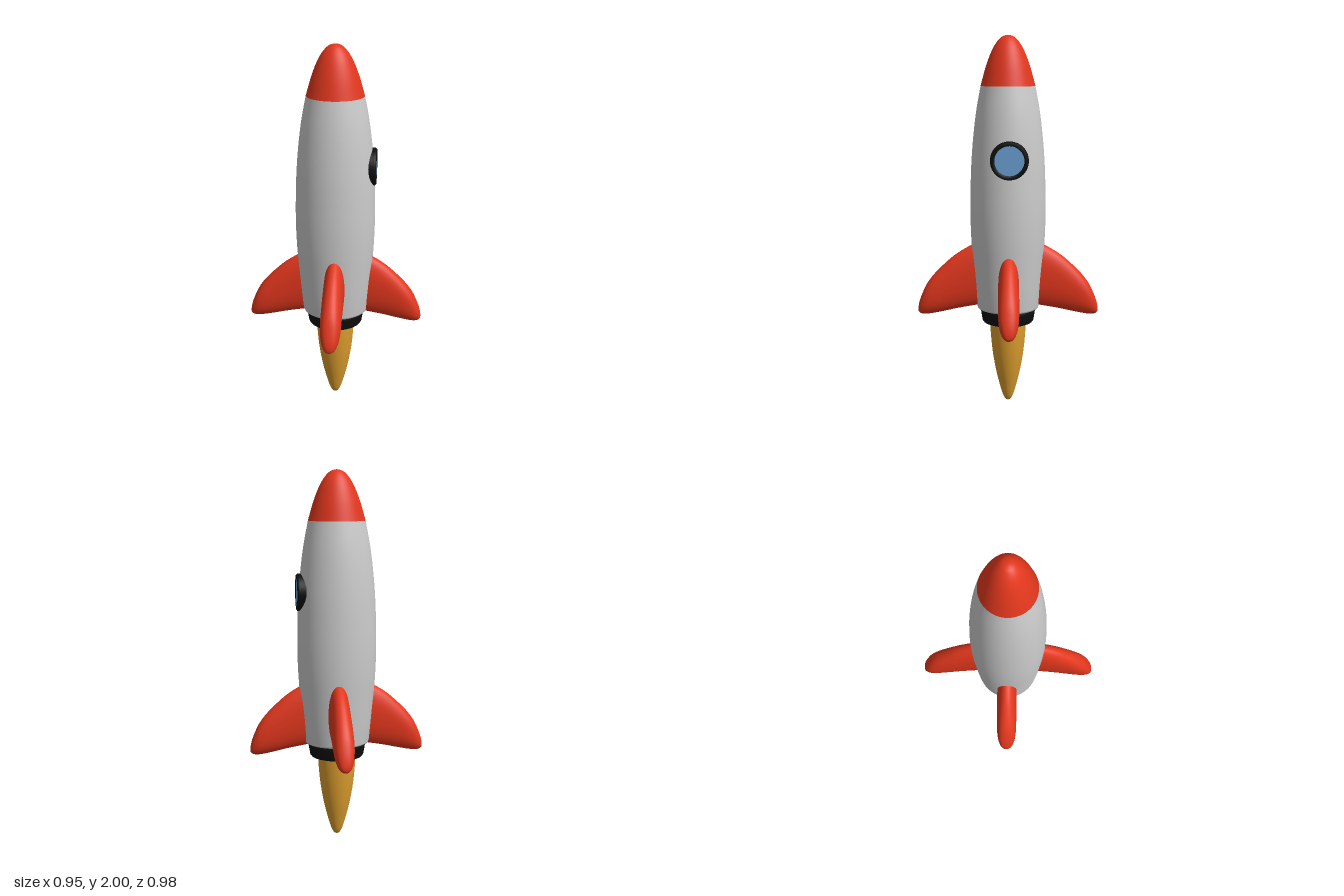
import * as THREE from 'three';

const mat = (color) => new THREE.MeshStandardMaterial({ color, roughness: 0.6, side: THREE.DoubleSide });
const grey = mat(0xcccccc), red = mat(0xe3371d), black = mat(0x0e0e0e), amber = mat(0xdd9e2e), blue = mat(0x6a9fd2);

function addMesh(parent, name, geometry, material) {
  const mesh = new THREE.Mesh(geometry, material);
  mesh.name = name;
  parent.add(mesh);
  return mesh;
}

const vectors = (points) => points.map(([r, y]) => new THREE.Vector2(r, y));

// Smooth lathe through [radius, height] points, listed bottom to top
function turned(points, divisions = 40) {
  const profile = new THREE.SplineCurve(vectors(points)).getPoints(divisions);
  profile.forEach((p) => { p.x = Math.max(p.x, 0); });
  return new THREE.LatheGeometry(profile, 64);
}

// Fin sweeping out along +z: each section is [distance, top, bottom, half width]
const finSections = [
  [0.10, 0.93, 0.562, 0.055], [0.20, 0.883, 0.545, 0.055], [0.28, 0.835, 0.531, 0.055],
  [0.34, 0.785, 0.518, 0.055], [0.40, 0.725, 0.506, 0.054], [0.44, 0.672, 0.50, 0.049],
  [0.465, 0.622, 0.50, 0.040], [0.482, 0.578, 0.505, 0.028], [0.490, 0.545, 0.514, 0.014],
  [0.492, 0.526, 0.526, 0],
];

function finGeometry(steps = 45, sides = 36) {
  const edges = new THREE.CatmullRomCurve3(
    finSections.map(([d, top, bottom]) => new THREE.Vector3(d, top, bottom)), false, 'catmullrom', 0.5);
  const widths = new THREE.SplineCurve(finSections.map((s, i) => new THREE.Vector2(i, s[3])));
  const positions = [], index = [];
  const soften = (v) => Math.sign(v) * Math.abs(v) ** 0.9;
  for (let i = 0; i <= steps; i++) {
    const { x: d, y: top, z: bottom } = edges.getPoint(i / steps);
    const w = Math.max(widths.getPoint(i / steps).y, 0);
    for (let j = 0; j < sides; j++) {
      const a = (j / sides) * Math.PI * 2;
      positions.push(w * soften(Math.cos(a)), (top + bottom) / 2 + (top - bottom) / 2 * soften(Math.sin(a)), d);
      if (i < steps) {
        const k = (j + 1) % sides, p = i * sides, q = p + sides;
        index.push(p + j, p + k, q + k, p + j, q + k, q + j);
      }
    }
  }
  const geometry = new THREE.BufferGeometry();
  geometry.setAttribute('position', new THREE.Float32BufferAttribute(positions, 3));
  geometry.setIndex(index);
  geometry.computeVertexNormals();
  return geometry;
}

export function createModel() {
  const model = new THREE.Group();
  model.name = 'rocket';

  // Turned parts share a slightly oval plan
  const hull = new THREE.Group();
  hull.name = 'hull';
  hull.scale.z = 0.953;
  model.add(hull);

  addMesh(hull, 'body', turned([
    [0.176, 0.545], [0.187, 0.64], [0.199, 0.78], [0.209, 0.92], [0.213, 1.06], [0.211, 1.2],
    [0.205, 1.34], [0.193, 1.48], [0.176, 1.61], [0.152, 1.736],
  ]), grey);
  addMesh(hull, 'bodyBase', new THREE.LatheGeometry(
    vectors([[0, 0.535], [0.165, 0.535], [0.173, 0.538], [0.176, 0.545]]), 64), grey);
  addMesh(hull, 'noseCone', turned([
    [0.152, 1.736], [0.124, 1.832], [0.095, 1.907], [0.068, 1.955], [0.04, 1.986], [0.018, 1.997], [0, 2],
  ]), red);
  addMesh(hull, 'nozzle', new THREE.LatheGeometry(vectors([
    [0, 0.455], [0.13, 0.455], [0.141, 0.459], [0.147, 0.468], [0.155, 0.515], [0.155, 0.528], [0.15, 0.538],
  ]), 64), black);
  addMesh(hull, 'flame', turned([
    [0, 0], [0.015, 0.006], [0.031, 0.035], [0.051, 0.1], [0.073, 0.19], [0.09, 0.29], [0.1, 0.39], [0.104, 0.47],
  ]), amber);

  // Four fins; the side pair sits slightly lower and closer in
  const fin = finGeometry();
  ['frontFin', 'leftFin', 'backFin', 'rightFin'].forEach((name, i) => {
    const mesh = addMesh(model, name, fin, red);
    const isSide = i % 2 === 1;
    mesh.rotation.y = i * Math.PI / 2;
    mesh.position.set(isSide ? (i === 1 ? -0.017 : 0.017) : 0.009, isSide ? -0.024 : 0, isSide ? -0.003 : 0);
  });

  // Round window on the left side
  const porthole = new THREE.Group();
  porthole.name = 'porthole';
  porthole.position.set(0, 1.36, -0.007);
  porthole.rotation.z = -Math.PI / 2;
  model.add(porthole);
  addMesh(porthole, 'windowRim', new THREE.LatheGeometry(vectors([
    [0.1, 0.13], [0.1, 0.205], [0.098, 0.213], [0.093, 0.217], [0.078, 0.217], [0.076, 0.21],
  ]), 48), black);
  const glass = addMesh(porthole, 'windowGlass', new THREE.CircleGeometry(0.078, 48), blue);
  glass.rotation.x = -Math.PI / 2;
  glass.position.y = 0.214;

  return model;
}
